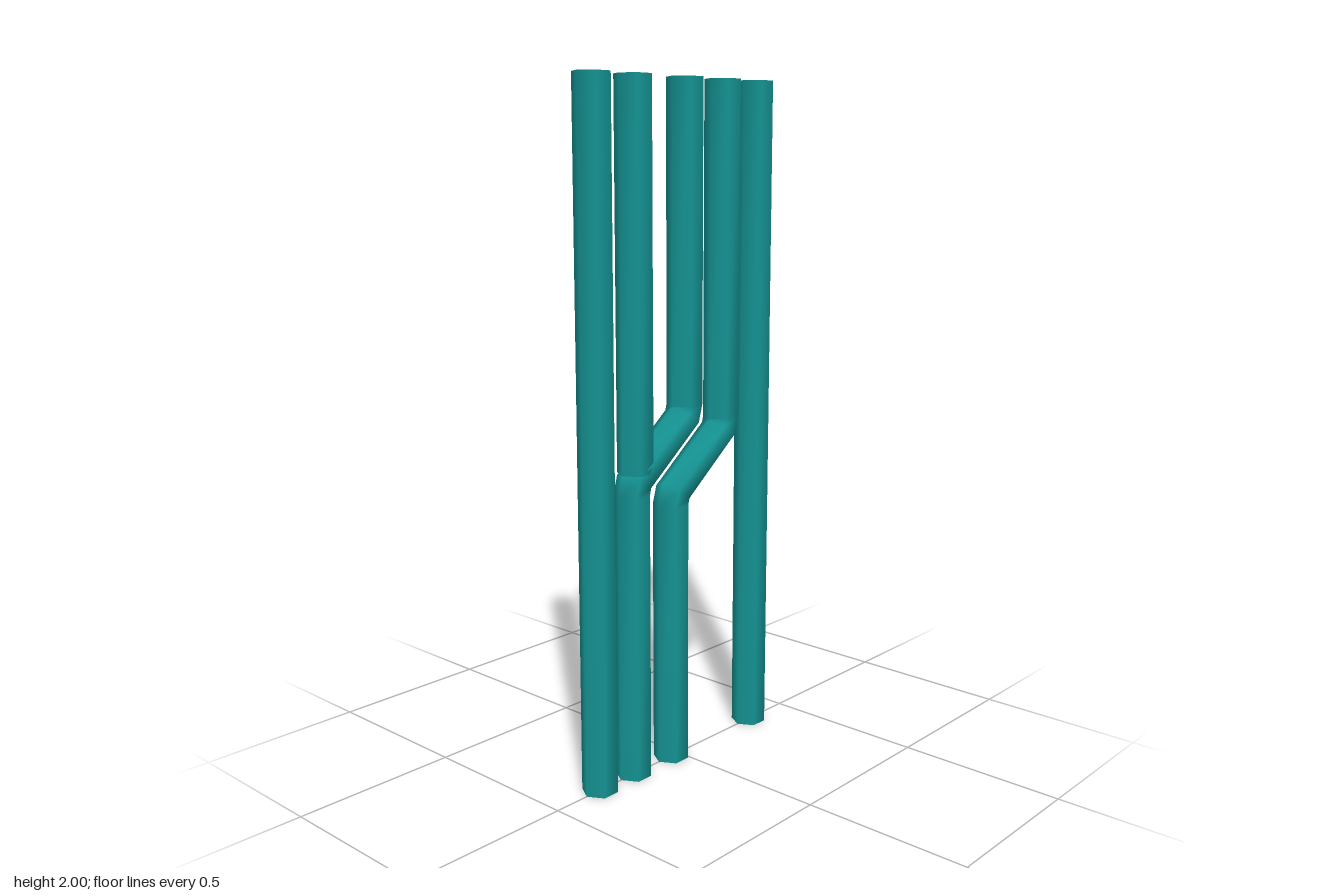
import * as THREE from 'three';
import { mergeVertices } from 'three/addons/utils/BufferGeometryUtils.js';

const R = 0.053;
const TILT = 0.63;
const material = new THREE.MeshStandardMaterial({ color: 0x159393, side: THREE.DoubleSide });

// Open six-sided pipe through rings [x, y, tilt], listed from top to bottom
function pipe(name, rings) {
  let geo = new THREE.CylinderGeometry(R, R, 1, 6, rings.length - 1, true, Math.PI / 2);
  const pos = geo.attributes.position;
  for (let i = 0; i < pos.count; i++) {
    const [x, y, tilt] = rings[Math.floor(i / 7)];
    const u = pos.getX(i);
    pos.setXY(i, x + u * Math.cos(tilt), y - u * Math.sin(tilt));
  }
  // Weld the seam so the shading stays smooth all round
  geo.deleteAttribute('uv');
  geo.deleteAttribute('normal');
  geo = mergeVertices(geo);
  geo.computeVertexNormals();
  const mesh = new THREE.Mesh(geo, material);
  mesh.name = name;
  return mesh;
}

const straightPipe = (name, x, bottom) => pipe(name, [[x, 2, 0], [x, bottom, 0]]);

// Pipe with a sideways jog, centred on (cx, cy)
const joggedPipe = (name, cx, cy) => pipe(name, [
  [cx + 0.111, 2, 0],
  [cx + 0.111, cy + 0.115, 0],
  [cx + 0.101, cy + 0.079, TILT],
  [cx - 0.101, cy - 0.079, TILT],
  [cx - 0.111, cy - 0.115, 0],
  [cx - 0.111, 0, 0],
]);

export function createModel() {
  const group = new THREE.Group();
  group.name = 'pipes';

  // Outer full-height pipes
  for (const s of [-1, 1]) {
    group.add(straightPipe(s < 0 ? 'rightOuterPipe' : 'leftOuterPipe', s * 0.335, 0));
  }
  // Short branch that ends in the first jogged pipe
  group.add(straightPipe('branchPipe', -0.181, 0.91));
  // Parallel jogged pipes
  group.add(joggedPipe('joinedJoggedPipe', -0.085, 0.965));
  group.add(joggedPipe('freeJoggedPipe', 0.077, 0.905));

  return group;
}
